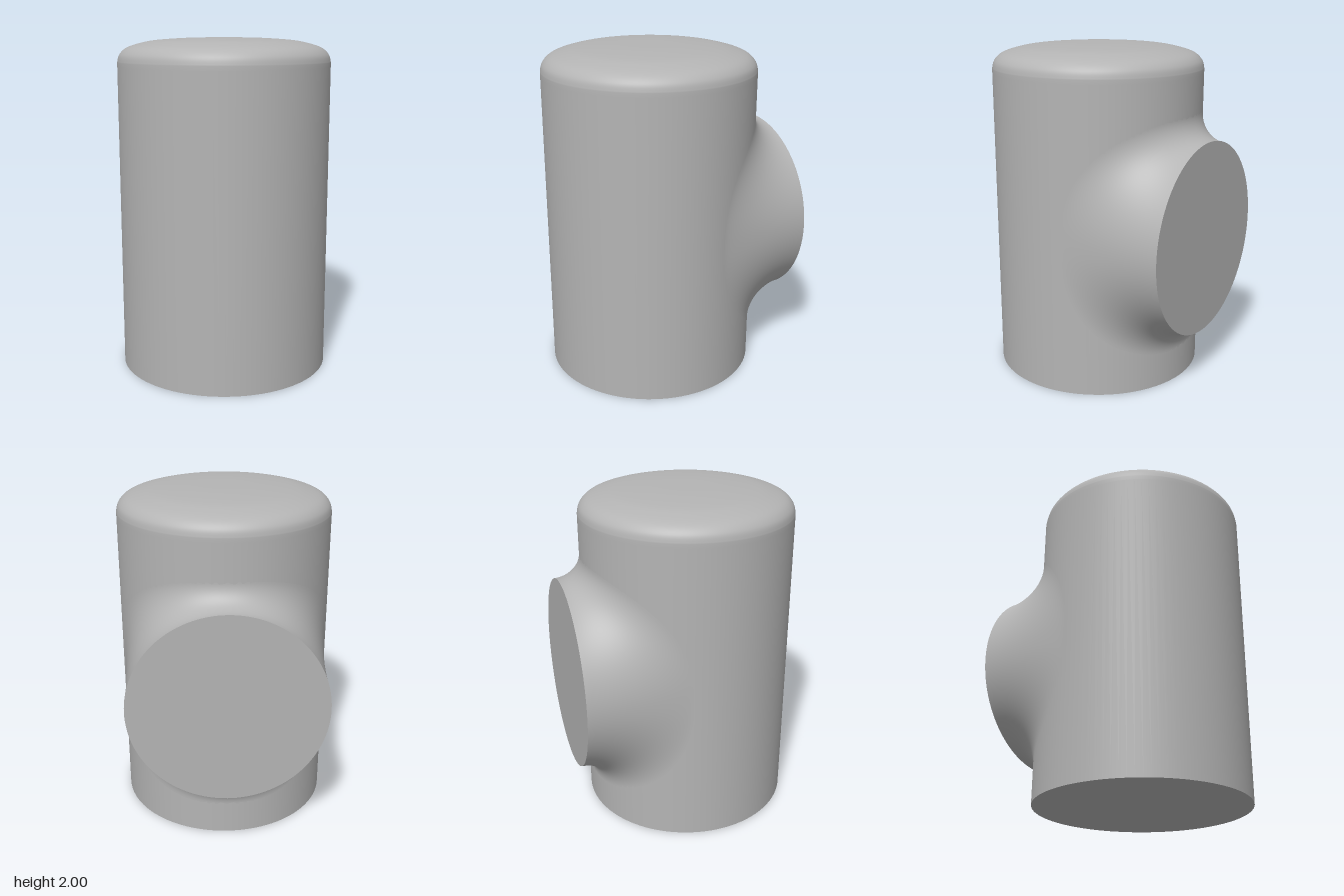
import * as THREE from 'three';

const R = 0.635, CZ = 0.065;          // main cylinder radius and axis z
const PORT_R = 0.575, PORT_Y = 0.905, PORT_Z = -0.7;

// Smooth flare from the round port face, blending tangentially into the cylinder
function flareGeometry(around = 128, along = 24) {
  const pos = [], index = [];
  const spow = (v, p) => Math.sign(v) * Math.abs(v) ** p;
  for (let i = 0; i < around; i++) {
    const a = (i / around) * Math.PI * 2, c = Math.cos(a), s = Math.sin(a);
    const x = PORT_R * c, y = PORT_Y + PORT_R * s;
    const start = new THREE.Vector3(x, y, PORT_Z);
    const corner = new THREE.Vector3(x, y, CZ - Math.sqrt(R * R - x * x));
    // contact curve, a rounded oval wrapped on the cylinder
    const phi = 1.318 * spow(c, 0.85);
    const normal = new THREE.Vector3(Math.sin(phi), 0, -Math.cos(phi));
    const end = normal.clone().multiplyScalar(R);
    end.y = PORT_Y + 0.71 * spow(s, 0.85);
    end.z += CZ;
    const toCorner = corner.clone().sub(end);
    toCorner.addScaledVector(normal, -toCorner.dot(normal));
    const curve = new THREE.CubicBezierCurve3(
      start,
      start.clone().lerp(corner, 0.55),
      end.clone().addScaledVector(toCorner, 0.55),
      end
    );
    for (let j = 0; j <= along; j++) pos.push(...curve.getPoint(j / along).toArray());
  }
  const n = along + 1;
  for (let i = 0; i < around; i++) {
    const k = (i + 1) % around;
    for (let j = 0; j < along; j++) {
      const p = i * n + j, q = k * n + j;
      index.push(p, q, p + 1, q, q + 1, p + 1);
    }
  }
  const g = new THREE.BufferGeometry();
  g.setAttribute('position', new THREE.Float32BufferAttribute(pos, 3));
  g.setIndex(index);
  g.computeVertexNormals();
  return g;
}

export function createModel() {
  const group = new THREE.Group();
  const grey = new THREE.MeshStandardMaterial({ color: 0xb4b4b4 });
  grey.name = 'grey';
  const add = (name, geometry) => {
    const mesh = new THREE.Mesh(geometry, grey);
    mesh.name = name;
    group.add(mesh);
    return mesh;
  };

  // Upright cylinder with a softly domed top
  const shoulder = new THREE.SplineCurve([
    [R, 1.855], [0.622, 1.9], [0.58, 1.94], [0.5, 1.967],
    [0.4, 1.985], [0.2, 1.998], [0, 2]
  ].map(([x, y]) => new THREE.Vector2(x, y))).getPoints(30);
  shoulder[shoulder.length - 1].x = 0;
  const profile = [new THREE.Vector2(R, 0), new THREE.Vector2(R, 1.83), ...shoulder];
  add('body', new THREE.LatheGeometry(profile, 96)).position.z = CZ;

  // Flat underside
  const base = add('base', new THREE.CircleGeometry(R, 96));
  base.rotation.x = Math.PI / 2;
  base.position.z = CZ;

  // Side branch at the back
  add('branchFlare', flareGeometry());
  const cap = add('branchFace', new THREE.CircleGeometry(PORT_R, 128));
  cap.rotation.y = Math.PI;
  cap.position.set(0, PORT_Y, PORT_Z);

  return group;
}
